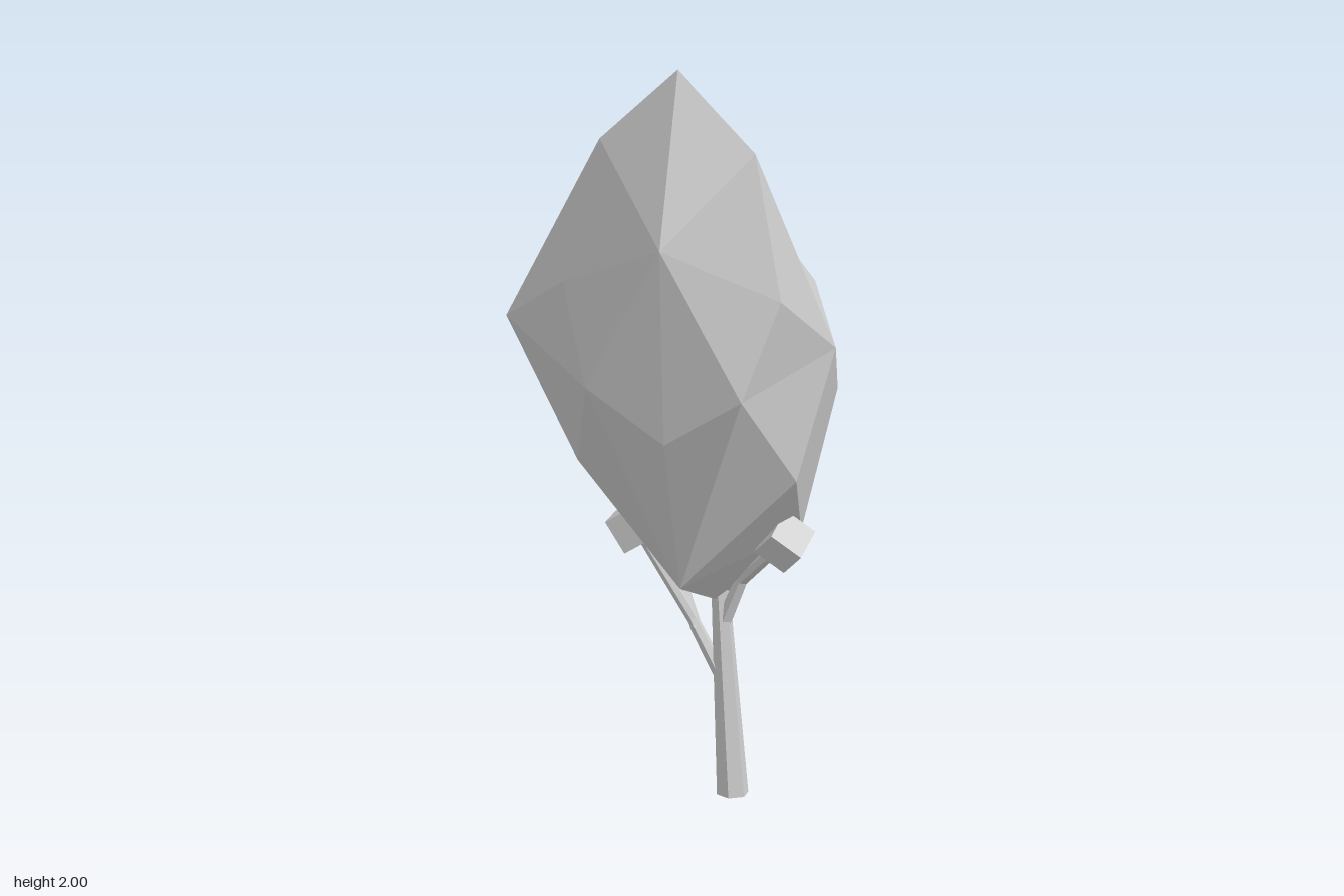
import * as THREE from 'three';

const V = (x, y, z) => new THREE.Vector3(x, y, z);
const mat = new THREE.MeshStandardMaterial({ color: 0xcccccc, flatShading: true });
const UP = V(0, 1, 0);

// Faceted crown: a ring of eight points in the middle plane, a smaller ring and a tip on each side
function crownGeometry() {
  const cx = 0.073;
  const middle = [[2, 0.25], [1.59, 0.42], [1.07, 0.38], [0.64, 0.23],
    [0.46, -0.16], [0.87, -0.34], [1.44, -0.395], [1.73, -0.11]].map(([y, z]) => V(cx, y, z));
  const side = [[1.8, 0.25], [1.44, 0.3], [1.2, 0.38], [0.92, 0.16],
    [0.66, -0.17], [1.02, -0.22], [1.26, -0.3], [1.54, -0.08]];
  const pos = [];
  for (const s of [1, -1]) {
    const ring = side.map(([y, z], i) => V(cx + s * (i % 2 ? 0.274 : 0.196), y, z));
    if (s > 0) ring[7].set(0.22, 1.43, -0.11); // dent in the upper back
    const tip = V(s * 0.413, 1.23, 0.04);
    const tri = (a, b, c) => (s > 0 ? [a, b, c] : [a, c, b]).forEach((p) => pos.push(p.x, p.y, p.z));
    for (let i = 0; i < 8; i++) {
      const j = (i + 1) % 8;
      const [a, b, c, d] = [middle[i], middle[j], ring[j], ring[i]];
      const flip = i === 6 || (i === 7 && s < 0);
      if ((i % 2 === 1) !== flip) {
        tri(a, b, c);
        tri(a, c, d);
      } else {
        tri(a, b, d);
        tri(b, c, d);
      }
      tri(d, c, tip);
    }
  }
  const g = new THREE.BufferGeometry();
  g.setAttribute('position', new THREE.Float32BufferAttribute(pos, 3));
  g.computeVertexNormals();
  return g;
}

// Tapered six-sided limb between two points
function limb(name, a, b, r0, r1) {
  const dir = b.clone().sub(a);
  const m = new THREE.Mesh(new THREE.CylinderGeometry(r1, r0, dir.length(), 6), mat);
  m.position.copy(a).add(b).multiplyScalar(0.5);
  m.quaternion.setFromUnitVectors(UP, dir.normalize());
  m.name = name;
  return m;
}

// Branch along a few points, ending in a small leaf block aligned with it
function branch(name, points, r) {
  const g = new THREE.Group();
  g.name = name;
  const n = points.length - 1;
  for (let i = 0; i < n; i++) {
    g.add(limb('twig', points[i], points[i + 1], r * (1 - 0.15 * i), r * (0.85 - 0.15 * i)));
  }
  const block = new THREE.Mesh(new THREE.BoxGeometry(0.09, 0.09, 0.09), mat);
  block.name = 'leafBlock';
  block.position.copy(points[n]);
  block.quaternion.setFromUnitVectors(UP, points[n].clone().sub(points[n - 1]).normalize());
  g.add(block);
  return g;
}

export function createModel() {
  const tree = new THREE.Group();
  tree.name = 'tree';

  const crown = new THREE.Mesh(crownGeometry(), mat);
  crown.name = 'crown';
  tree.add(crown);

  // Leaning trunk with a level foot, sheared instead of rotated
  const trunkGeo = new THREE.CylinderGeometry(0.02, 0.039, 0.58, 6);
  trunkGeo.translate(0, 0.29, 0);
  const p = trunkGeo.attributes.position;
  for (let i = 0; i < p.count; i++) {
    const y = p.getY(i);
    p.setX(i, p.getX(i) + 0.125 - 0.09 * y);
    p.setZ(i, p.getZ(i) - 0.07 - 0.11 * y);
  }
  trunkGeo.computeVertexNormals();
  const trunk = new THREE.Mesh(trunkGeo, mat);
  trunk.name = 'trunk';
  tree.add(trunk);

  // Branches
  tree.add(
    branch('leftBranch', [V(0.088, 0.42, -0.116), V(0.135, 0.54, -0.115), V(0.27, 0.69, -0.015)], 0.02),
    branch('rightBranch', [V(0.09, 0.29, -0.1), V(0.01, 0.42, -0.125), V(-0.14, 0.645, -0.14)], 0.018),
    branch('rightBackBranch', [V(0.02, 0.4, -0.12), V(-0.04, 0.53, -0.17), V(-0.14, 0.71, -0.25)], 0.016),
    branch('backBranch', [V(0.08, 0.48, -0.12), V(0.078, 0.58, -0.17), V(0.085, 0.72, -0.345)], 0.018),
  );
  return tree;
}
